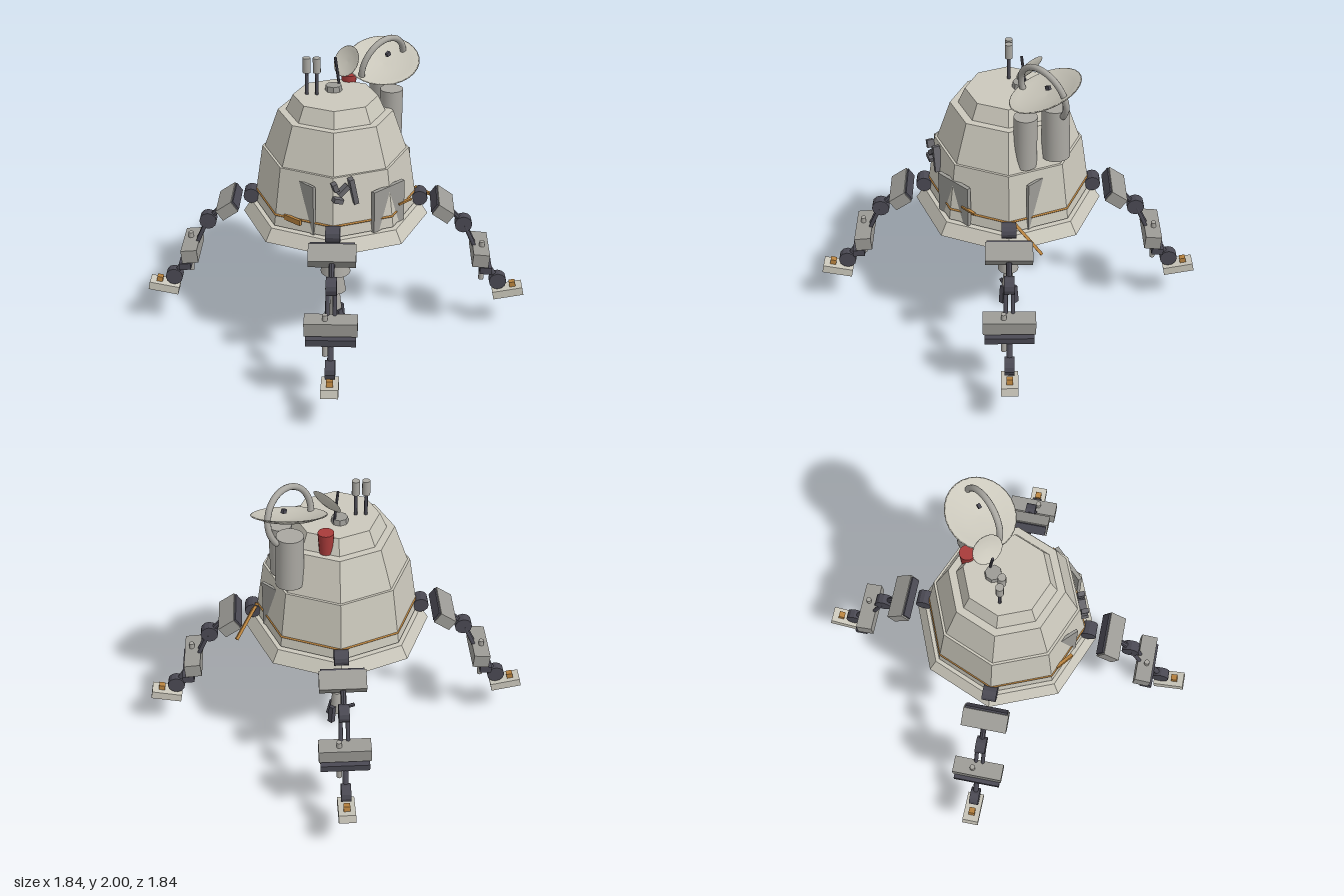
import * as THREE from 'three';

const mat = (color, flat = true) =>
  new THREE.MeshStandardMaterial({ color, flatShading: flat, side: THREE.DoubleSide });
const hullMat = mat(0xcbc8bc), greyMat = mat(0x9c9b96), darkMat = mat(0x4a4953);
const orangeMat = mat(0xb9833f), redMat = mat(0xa83b3a), underMat = mat(0x2c2c30);
const paleSmooth = mat(0xcbc8bc, false), greySmooth = mat(0xa9a7a1, false);
const darkSmooth = mat(0x4a4953, false), redSmooth = mat(0xa83b3a, false);

function add(parent, name, geo, material, pos = [0, 0, 0], rot = [0, 0, 0]) {
  const m = new THREE.Mesh(geo, material);
  m.name = name;
  m.position.set(...pos);
  m.rotation.set(...rot);
  parent.add(m);
  return m;
}
const box = (w, h, d) => new THREE.BoxGeometry(w, h, d);

// Vertical frustum given by its lower and upper heights
function frustum(parent, name, material, y0, y1, r0, r1, sides = 8, x = 0, z = 0, rot) {
  const geo = new THREE.CylinderGeometry(r1, r0, y1 - y0, sides);
  return add(parent, name, geo, material, [x, (y0 + y1) / 2, z], rot);
}

// Round bar between two points
function bar(parent, name, material, a, b, r, sides = 8) {
  const A = new THREE.Vector3(...a), B = new THREE.Vector3(...b);
  const m = add(parent, name, new THREE.CylinderGeometry(r, r, A.distanceTo(B), sides), material);
  m.position.copy(A).add(B).multiplyScalar(0.5);
  m.quaternion.setFromUnitVectors(new THREE.Vector3(0, 1, 0), B.sub(A).normalize());
  return m;
}

function buildHull() {
  const g = new THREE.Group();
  g.name = 'hull';
  frustum(g, 'undersidePlate', underMat, 0.835, 0.86, 0.54, 0.56);
  frustum(g, 'baseFlange', hullMat, 0.858, 0.938, 0.595, 0.545);
  frustum(g, 'lowerHull', hullMat, 0.948, 1.325, 0.52, 0.463);
  frustum(g, 'middleHull', hullMat, 1.325, 1.575, 0.447, 0.36);
  frustum(g, 'upperHull', hullMat, 1.575, 1.675, 0.31, 0.265);

  // Trim band and loose trim pieces
  const trim = new THREE.TorusGeometry(0.508, 0.008, 4, 8);
  add(g, 'trimBand', trim, orangeMat, [0, 1.018, 0], [Math.PI / 2, 0, 0]);
  bar(g, 'trimRod', orangeMat, [0.38, 1.03, 0.345], [0.6, 0.88, 0.315], 0.013, 4);
  add(g, 'trimClip', box(0.02, 0.035, 0.13), orangeMat, [-0.475, 1.018, 0.12], [0, 0.1, 0]);
  add(g, 'hatchHandle', box(0.11, 0.012, 0.02), orangeMat, [0.135, 1.065, 0.485]);

  // Hatch and side panels
  add(g, 'hatch', box(0.262, 0.275, 0.026), greyMat, [0, 1.078, 0.472]);
  for (const s of [-1, 1])
    add(g, 'sidePanel', box(0.018, 0.325, 0.13), greyMat, [s * 0.412, 1.103, 0.185]);

  // Small fittings on the front face
  const fittings = [
    [-0.34, 1.28, 0.355, 0.03, 0.05, 0.3], [-0.325, 1.19, 0.365, 0.06, 0.03, -0.3],
    [-0.29, 1.25, 0.375, 0.08, 0.03, 0.7], [-0.23, 1.235, 0.4, 0.03, 0.17, 0.2],
  ];
  for (const [x, y, z, w, h, tilt] of fittings)
    add(g, 'fitting', box(w, h, 0.045), mat(0x66656a), [x, y, z], [0, -0.39, tilt]);
  return g;
}

function buildRoof() {
  const g = new THREE.Group();
  g.name = 'roofEquipment';

  // Twin aerials
  for (const [x, z] of [[-0.122, -0.13], [-0.078, -0.085]]) {
    frustum(g, 'aerialRod', darkSmooth, 1.67, 1.83, 0.011, 0.011, 8, x, z);
    frustum(g, 'aerialHead', greySmooth, 1.82, 1.915, 0.025, 0.025, 12, x, z);
  }

  // Whip aerial on its base
  frustum(g, 'whipBase', greyMat, 1.67, 1.71, 0.055, 0.05, 8, 0.045, -0.065);
  bar(g, 'whipAerial', darkMat, [0.09, 1.69, -0.06], [0.055, 1.89, -0.06], 0.009, 6);

  // Side tanks
  frustum(g, 'frontTank', greySmooth, 1.34, 1.68, 0.07, 0.072, 20, 0.318, 0.175);
  frustum(g, 'rearTank', greySmooth, 1.38, 1.715, 0.088, 0.084, 20, 0.41, 0.01, [0, 0, 0.04]);
  frustum(g, 'redCanister', redSmooth, 1.57, 1.715, 0.04, 0.05, 16, 0.235, -0.125);

  // Dishes share one shallow bowl profile
  const bowl = [[0, -0.2], [0.3, -0.185], [0.7, -0.11], [1, 0], [0.96, 0.02], [0.78, -0.04], [0.4, -0.12], [0, -0.14]]
    .map(([r, y]) => new THREE.Vector2(r, y));
  function dish(name, radius, pos, normal) {
    const m = add(g, name, new THREE.LatheGeometry(bowl, 28), paleSmooth, pos);
    m.scale.setScalar(radius);
    m.quaternion.setFromUnitVectors(new THREE.Vector3(0, 1, 0), new THREE.Vector3(...normal).normalize());
  }
  dish('largeDish', 0.23, [0.36, 1.825, 0.055], [-0.29, 1, 0.27]);
  dish('smallDish', 0.1, [0.135, 1.85, -0.045], [-0.86, 0.5, 0]);
  add(g, 'dishFeed', box(0.03, 0.025, 0.02), darkMat, [0.392, 1.86, 0.065], [0, 0, 0.4]);

  // Arched handle crossing the large dish
  const arch = new THREE.TorusGeometry(0.18, 0.02, 10, 32, 4.1);
  arch.rotateZ(-0.7);
  add(g, 'dishArch', arch, greySmooth, [0.35, 1.804, 0.06], [0.21, 0, 0]);
  return g;
}

function buildThruster() {
  const g = new THREE.Group();
  g.name = 'centralColumn';
  frustum(g, 'columnCollar', darkSmooth, 0.56, 0.785, 0.13, 0.092, 16);
  frustum(g, 'columnUpper', greySmooth, 0.413, 0.565, 0.1, 0.068, 16);
  frustum(g, 'columnMiddle', greySmooth, 0.27, 0.42, 0.07, 0.046, 16);
  frustum(g, 'columnLower', greySmooth, 0.07, 0.275, 0.048, 0.026, 16);

  // Claw at the tip
  bar(g, 'clawArm', darkMat, [0, 0.075, 0], [-0.12, 0.07, -0.055], 0.014, 6);
  add(g, 'clawFinger', box(0.035, 0.125, 0.035), darkMat, [0, 0.07, 0.05], [-0.2, 0, 0.1]);
  add(g, 'clawFinger', box(0.035, 0.125, 0.035), darkMat, [0.055, 0.072, -0.005], [0, 0, 0.12]);
  add(g, 'clawJoint', new THREE.SphereGeometry(0.022, 10, 8), darkSmooth, [-0.02, 0.07, -0.055]);
  return g;
}

// One leg, reaching outward along local +z
function buildLeg() {
  const g = new THREE.Group();
  const joint = (name, r, len, y, z) => add(g, name,
    new THREE.CylinderGeometry(r, r, len, 12), darkMat, [0, y, z], [0, 0, Math.PI / 2]);

  joint('hipJoint', 0.05, 0.09, 0.985, 0.54);
  // Hip block slopes down outward, dark plate on its inner face
  const hip = new THREE.Group();
  hip.name = 'hip';
  hip.position.set(0, 0.922, 0.69);
  hip.rotation.x = 0.6;
  add(hip, 'hipBlock', box(0.29, 0.08, 0.12), greyMat);
  add(hip, 'hipPlate', box(0.27, 0.065, 0.016), darkMat, [0, 0, -0.064]);
  g.add(hip);
  bar(g, 'thighLink', darkMat, [0, 0.92, 0.71], [0, 0.8, 0.82], 0.018);

  joint('kneeJoint', 0.056, 0.065, 0.79, 0.83);
  for (const x of [-0.022, 0.022])
    bar(g, 'shinStrut', darkSmooth, [x, 0.78, 0.84], [x, 0.6, 0.92], 0.013);

  add(g, 'shinBlock', box(0.32, 0.09, 0.105), greyMat, [0, 0.592, 0.945], [0.08, 0, 0]);
  add(g, 'shinPlate', box(0.3, 0.045, 0.075), darkMat, [0, 0.512, 0.98], [0.06, 0, 0]);
  bar(g, 'shinRod', greySmooth, [-0.035, 0.39, 0.962], [-0.035, 0.672, 0.955], 0.017, 10);
  bar(g, 'ankleLink', darkSmooth, [0, 0.5, 0.99], [0, 0.37, 1.07], 0.018);

  joint('ankleJoint', 0.057, 0.06, 0.365, 1.075);
  add(g, 'foot', box(0.105, 0.055, 0.2), hullMat, [0, 0.287, 1.145], [-0.2, 0, 0]);
  add(g, 'footLight', box(0.04, 0.045, 0.04), orangeMat, [0, 0.333, 1.175], [-0.2, 0, 0]);
  return g;
}

export function createModel() {
  const model = new THREE.Group();
  model.name = 'lander';
  model.add(buildHull(), buildRoof(), buildThruster());
  for (let i = 0; i < 4; i++) {
    const leg = buildLeg();
    leg.name = 'leg';
    leg.rotation.y = Math.PI / 4 + i * Math.PI / 2;
    model.add(leg);
  }
  return model;
}
